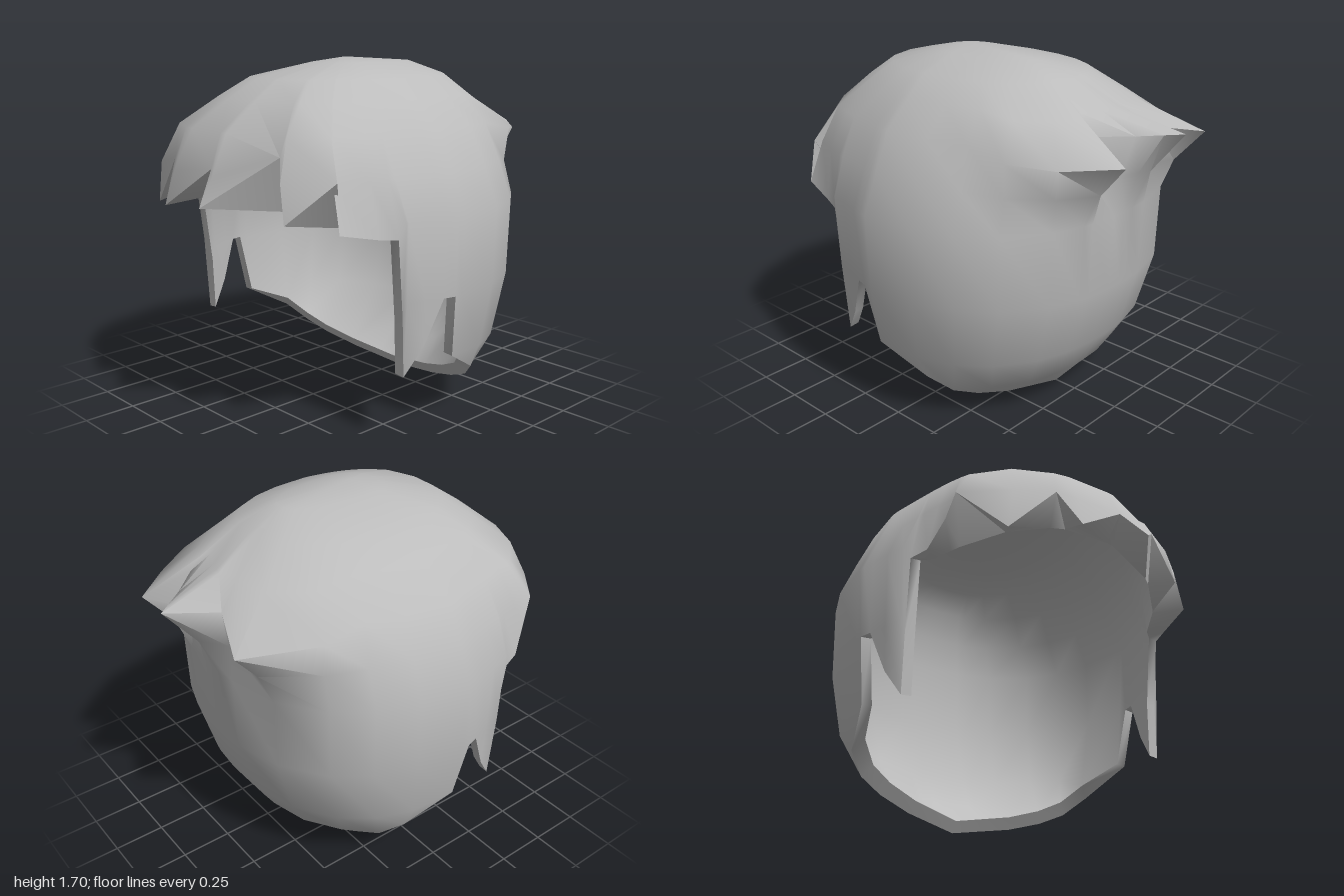
import * as THREE from 'three';
import { toCreasedNormals } from 'three/addons/utils/BufferGeometryUtils.js';

const ZC = 0.1; // centre of the rings
const bend = (v, p) => Math.sign(v) * Math.abs(v) ** p;
const mix = (p, q, f) => p.map((v, i) => v + (q[i] - v) * f);
const angleOf = (x, z) => Math.atan2(bend(x / 0.825, 1 / 0.85), bend((z - ZC) / 0.85, 1 / 0.85));
// The temples are slightly pinched in front of the ears
const pinch = (z) => 1 - 0.045 * Math.sin(Math.PI * Math.min(1, Math.max(0, (z - ZC) / 0.52)));

// Rings from crown to nape: height, half width, front z, back z, sideways shift
const rings = [
  [1.675, 0.15, 0.27, -0.29, 0.09], [1.61, 0.38, 0.54, -0.48, 0.05], [1.52, 0.50, 0.67, -0.61, 0.03],
  [1.39, 0.67, 0.83, -0.68, 0], [1.21, 0.75, 0.92, -0.73, 0], [1.03, 0.825, 0.92, -0.75, 0],
  [0.67, 0.815, 0.90, -0.74, 0], [0.36, 0.77, 0.85, -0.65, 0], [0.18, 0.66, 0.80, -0.54, 0],
];
const RIDGE = 3; // ring that carries the back spikes

// Ragged fringe edge: notches and tips
const fringe = [
  [-0.71, 0.97, 0.50], [-0.67, 1.10, 0.58], [-0.65, 1.22, 0.63], [-0.49, 1.01, 0.80],
  [-0.26, 1.25, 0.85], [-0.20, 1.05, 0.95], [0.08, 1.24, 0.89], [0.14, 1.09, 1.0],
  [0.40, 1.31, 0.77], [0.48, 1.04, 0.82], [0.64, 1.22, 0.67], [0.67, 1.01, 0.685], [0.71, 0.97, 0.50],
];
// Sideburn and the gap behind it, mirrored
const sideburn = [
  [0.74, 0.96, 0.41], [0.73, 0.60, 0.37], [0.73, 0.33, 0.36], [0.765, 0.46, 0.27],
  [0.80, 0.67, 0.18], [0.815, 0.67, 0.12], [0.77, 0.37, 0.08],
];
// Spike tips, notches and the ridge fading out to both sides
const spikes = [
  [-0.58, 1.35, -0.54], [-0.43, 1.34, -0.88], [-0.16, 1.40, -0.77], [-0.06, 1.43, -1.0],
  [0.08, 1.42, -0.84], [0.22, 1.42, -0.70], [0.27, 1.34, -0.93], [0.46, 1.33, -0.73], [0.58, 1.35, -0.54],
];
const backColumns = [[0.80, -0.18], [0.73, -0.38]];

// Nape edge from the side (t = 0) to the middle of the back (t = 1)
const nape = [
  [0, 0.77, 0.36, 0.08], [0.2, 0.68, 0.22, -0.19], [0.4, 0.56, 0.12, -0.25],
  [0.7, 0.31, 0.05, -0.32], [1, 0, 0, -0.38],
];
function napeAt(a) {
  const t = Math.min(1, Math.max(0, Math.abs(a) / (Math.PI / 2) - 1));
  const i = Math.max(1, nape.findIndex((n) => n[0] >= t));
  const p = nape[i - 1], q = nape[i];
  const [, x, y, z] = mix(p, q, (t - p[0]) / (q[0] - p[0]));
  return [Math.sign(a) * x, y, z];
}

function makeColumns() {
  const cols = [];
  for (const e of fringe) {
    const a = angleOf(e[0], e[2]);
    const s = bend(Math.sin(a), 0.85), c = bend(Math.cos(a), 0.85);
    cols.push({ a, outer: e, inner: [0.7 * s, 1.13 - 0.19 * s * s, ZC + 0.7 * c] });
  }
  for (const m of [-1, 1]) {
    for (const [x, y, z] of sideburn) {
      cols.push({ a: angleOf(m * x, z), outer: [m * x, y, z], inner: [m * (x - 0.05), y + 0.005, z] });
    }
  }
  const addBack = (a, spike) => {
    const [x, y, z] = napeAt(a);
    cols.push({ a, spike, outer: [x, y, z], inner: [x * 0.93, y + 0.055, z + 0.035] });
  };
  for (const m of [-1, 1]) for (const [x, z] of backColumns) addBack(angleOf(m * x, z));
  // Outer ridge ends sit on the side columns of the shell
  for (const s of spikes) addBack(Math.abs(s[0]) > 0.5 ? angleOf(Math.sign(s[0]) * 0.64, -0.57) : angleOf(s[0], -0.75), s);
  addBack(Math.PI, mix(spikes[3], spikes[4], 0.43));
  return cols.sort((p, q) => p.a - q.a);
}

// Points of one column, from under the crown to the rim
function columnPoints(col, inside) {
  const end = inside ? col.inner : col.outer;
  const inset = inside ? 0.055 : 0;
  const s = bend(Math.sin(col.a), 0.85), c = bend(Math.cos(col.a), 0.85);
  const pts = rings.map(([y, w, zf, zb, cx], k) => {
    const yy = y - inset * Math.max(0, (y - 1.2) / 0.5);
    if (yy <= end[1] + 0.08) return end;
    const depth = c > 0 ? zf - ZC - inset * 1.8 : ZC - zb - inset;
    const z = ZC + depth * c;
    const p = [cx + (w - inset) * s * pinch(z), yy, z];
    if (inside || !col.spike) return p;
    if (k === RIDGE - 1) return mix(p, col.spike, 0.2);
    if (k === RIDGE) return col.spike;
    if (k === RIDGE + 1) {
      const under = mix(p, col.spike, 0.4);
      return [under[0], (col.spike[1] + 1.03) / 2, under[2]];
    }
    return p;
  });
  return [...pts, end];
}

// Skins a closed ring of point columns, with an optional apex
function skin(columns, apex, flip) {
  const pos = [];
  const same = (p, q) => Math.hypot(p[0] - q[0], p[1] - q[1], p[2] - q[2]) < 1e-5;
  const tri = (a, b, c) => {
    if (same(a, b) || same(b, c) || same(a, c)) return;
    pos.push(...a, ...(flip ? c : b), ...(flip ? b : c));
  };
  columns.forEach((p, j) => {
    const q = columns[(j + 1) % columns.length];
    if (apex) tri(apex, p[0], q[0]);
    for (let k = 0; k < p.length - 1; k++) {
      tri(p[k], p[k + 1], q[k + 1]);
      tri(p[k], q[k + 1], q[k]);
    }
  });
  const g = new THREE.BufferGeometry();
  g.setAttribute('position', new THREE.Float32BufferAttribute(pos, 3));
  return toCreasedNormals(g, 1.4);
}

export function createModel() {
  const group = new THREE.Group();
  group.name = 'hair';
  const hairGrey = new THREE.MeshStandardMaterial({ color: 0xbcbcbc });
  hairGrey.name = 'hair grey';
  const add = (name, geometry) => {
    const mesh = new THREE.Mesh(geometry, hairGrey);
    mesh.name = name;
    group.add(mesh);
  };

  const cols = makeColumns();
  add('outerHair', skin(cols.map((c) => columnPoints(c, false)), [0.1, 1.7, 0.12], false));
  add('innerHair', skin(cols.map((c) => columnPoints(c, true)), [0.08, 1.64, 0.1], true));
  // Band closing the thickness along fringe, sideburns and nape
  add('hairEdge', skin(cols.map((c) => [c.outer, c.inner]), null, false));
  return group;
}
